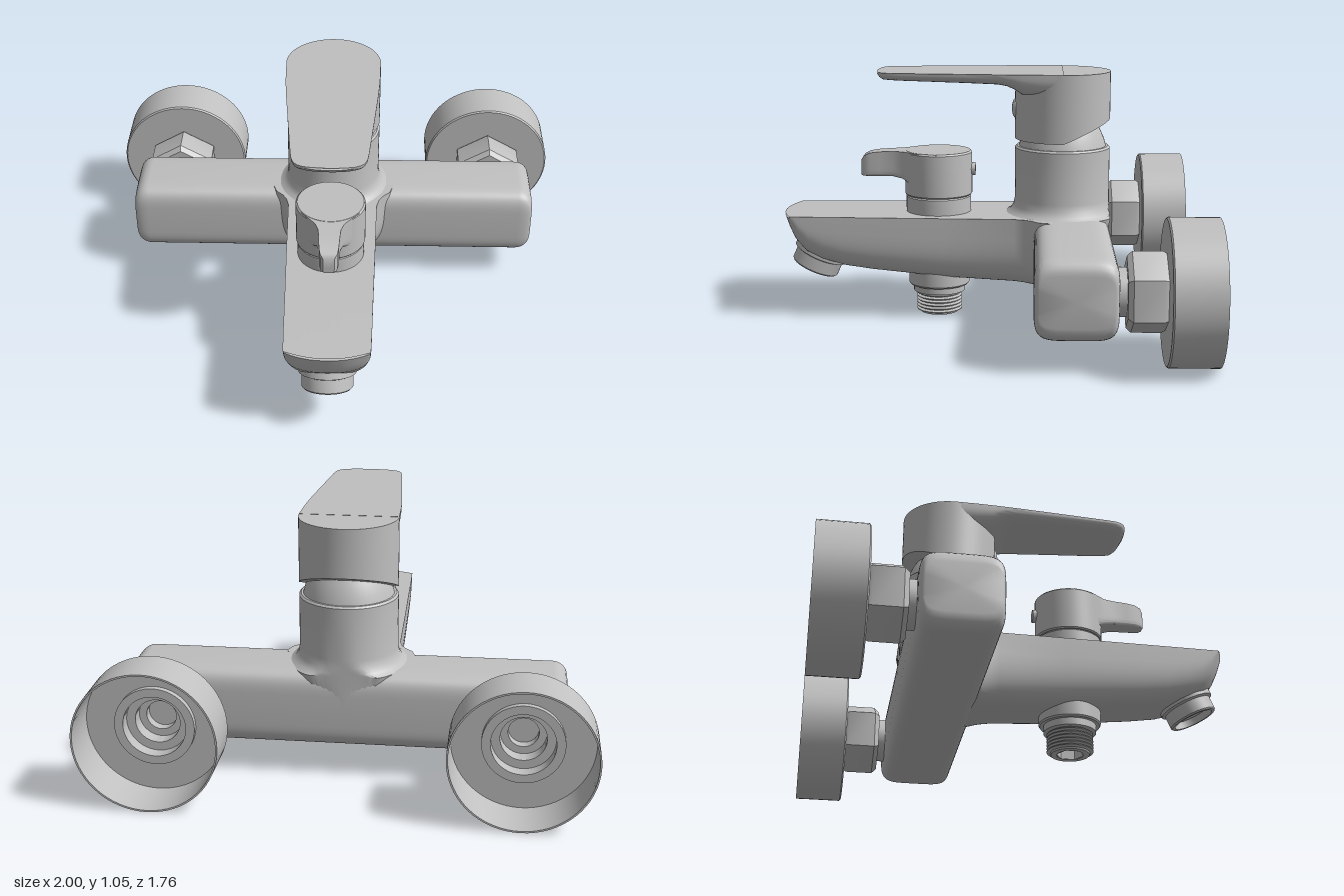
import * as THREE from 'three';
import { toCreasedNormals } from 'three/addons/utils/BufferGeometryUtils.js';

const metal = new THREE.MeshStandardMaterial({ color: 0xc0c0c0, side: THREE.DoubleSide });
metal.name = 'satin metal';

function part(name, geometry, parent, crease = 0.6) {
  const mesh = new THREE.Mesh(toCreasedNormals(geometry, crease), metal);
  mesh.name = name;
  parent.add(mesh);
  return mesh;
}

const lathe = (profile, sides = 48) =>
  new THREE.LatheGeometry(profile.map(([r, y]) => new THREE.Vector2(r, y)), sides);

// Skin over rings of points, closed with a fan at both ends
function loft(rings) {
  const pos = [], n = rings[0].length;
  const tri = (...pts) => pts.forEach((p) => pos.push(...p));
  for (let i = 0; i < rings.length - 1; i++) {
    for (let j = 0; j < n; j++) {
      const k = (j + 1) % n;
      const a = rings[i][j], b = rings[i][k], c = rings[i + 1][k], d = rings[i + 1][j];
      tri(a, b, c);
      tri(a, c, d);
    }
  }
  for (const [ring, last] of [[rings[0], false], [rings[rings.length - 1], true]]) {
    const mid = [0, 1, 2].map((c) => ring.reduce((s, p) => s + p[c], 0) / n);
    for (let j = 0; j < n; j++) {
      const k = (j + 1) % n;
      if (last) tri(mid, ring[j], ring[k]);
      else tri(mid, ring[k], ring[j]);
    }
  }
  const g = new THREE.BufferGeometry();
  g.setAttribute('position', new THREE.Float32BufferAttribute(pos, 3));
  return g;
}

const bulge = (v, n) => Math.sign(v) * Math.abs(v) ** (2 / n);

// Section across z: flat top, rounded underside; bow curves it back at the sides
function troughRing([z, w, top, bottom, bow = 0], n) {
  const ring = [];
  const add = (u, y) => ring.push([u * w, y, z - bow * u * u]);
  for (let i = 0; i < 12; i++) add(1 - i / 6, top);
  for (let i = 0; i < 32; i++) {
    const t = Math.PI * (1 + i / 32);
    add(bulge(Math.cos(t), n), top + (top - bottom) * bulge(Math.sin(t), n));
  }
  return ring;
}

// Section across x: squarish rounded outline of the bar
function barRing(x, hy, hz) {
  return Array.from({ length: 56 }, (_, i) => {
    const t = (i / 56) * Math.PI * 2;
    return [x, 0.29 + hy * bulge(Math.cos(t), 5), -0.34 + hz * bulge(Math.sin(t), 5)];
  });
}

function buildBody(root) {
  // Bar with rounded ends
  const ends = [];
  for (let i = 0; i <= 6; i++) {
    const a = (i / 6) * Math.PI / 2;
    const drop = 0.06 * (1 - Math.cos(a));
    ends.push([0.825 + 0.06 * Math.sin(a), 0.16 - drop, 0.16 - drop * 0.3]);
  }
  const left = ends.map((e) => barRing(...e));
  const right = ends.map(([x, hy, hz]) => barRing(-x, hy, hz)).reverse();
  part('mixerBar', loft([...right, ...left]), root);

  // Spout flaring into the bar: z, half width, top, bottom, bow
  const spout = [
    [-0.26, 0.27, 0.449, 0.145], [-0.2, 0.25, 0.449, 0.147], [-0.17, 0.22, 0.45, 0.15],
    [-0.14, 0.203, 0.45, 0.154], [-0.1, 0.193, 0.45, 0.158], [0.2, 0.186, 0.45, 0.175],
    [0.5, 0.178, 0.45, 0.205], [0.62, 0.175, 0.45, 0.222, 0.005], [0.72, 0.173, 0.45, 0.25, 0.015],
    [0.79, 0.171, 0.45, 0.285, 0.025], [0.84, 0.17, 0.45, 0.34, 0.035],
    [0.865, 0.169, 0.45, 0.395, 0.04], [0.88, 0.168, 0.45, 0.44, 0.04],
  ];
  part('spout', loft(spout.map((s) => troughRing(s, 4))), root);

  // Column with a fillet at its foot, flush with the back of the bar
  const column = lathe([
    [0.2, 0.3], [0.245, 0.445], [0.22, 0.458], [0.206, 0.48], [0.2, 0.51],
    [0.2, 0.727], [0.192, 0.735], [0, 0.735],
  ], 64).translate(0, 0, -0.3);
  const p = column.attributes.position;
  for (let i = 0; i < p.count; i++) p.setZ(i, Math.max(p.getZ(i), -0.5));
  part('column', column, root);
  part('cartridgeDome', lathe([
    [0.185, 0.73], [0.175, 0.765], [0.155, 0.81], [0.13, 0.85], [0, 0.88],
  ]).translate(0, 0, -0.3), root);
}

function buildHandle(root) {
  const handle = new THREE.Group();
  handle.name = 'handle';
  root.add(handle);

  // Cap whose underside rises toward the back
  const cap = new THREE.CylinderGeometry(0.2, 0.2, 0.284, 64).translate(0, 0.907, -0.3);
  const p = cap.attributes.position;
  for (let i = 0; i < p.count; i++) {
    if (p.getY(i) < 0.9) p.setY(i, 0.765 + Math.max(0, -0.3 - p.getZ(i)) * 0.43);
  }
  part('handleCap', cap, handle);

  // Thin tapering lever with a filleted root and a bevelled tip
  const lever = [
    [-0.3, 0.199, 1.05, 0.93], [-0.2, 0.197, 1.05, 0.94], [-0.13, 0.194, 1.05, 0.955],
    [-0.1, 0.192, 1.05, 0.975], [-0.07, 0.19, 1.05, 0.99], [-0.03, 0.187, 1.05, 0.998],
    [0.1, 0.176, 1.05, 1.003], [0.38, 0.151, 1.05, 1.011], [0.42, 0.146, 1.05, 1.013, 0.003],
    [0.45, 0.136, 1.05, 1.015, 0.007], [0.468, 0.12, 1.05, 1.025, 0.01], [0.478, 0.1, 1.05, 1.04, 0.01],
  ];
  part('handleLever', loft(lever.map((s) => troughRing(s, 3))), handle);
  part('indexButton', new THREE.SphereGeometry(0.042, 24, 12).scale(1, 1, 0.4)
    .translate(0, 0.89, -0.103), handle);
}

function buildDiverter(root) {
  const diverter = new THREE.Group();
  diverter.name = 'diverter';
  diverter.position.z = 0.225;
  root.add(diverter);
  part('diverterBase', lathe([[0.138, 0.44], [0.138, 0.515], [0.132, 0.52], [0, 0.52]]), diverter);
  part('diverterKnob', lathe([
    [0, 0.521], [0.138, 0.521], [0.143, 0.527], [0.143, 0.703], [0.136, 0.71], [0, 0.71],
  ]), diverter);
  // Finger tab: z, half width, top, bottom
  const tab = [
    [0.0, 0.14, 0.709, 0.56], [0.08, 0.115, 0.709, 0.565], [0.12, 0.082, 0.709, 0.575],
    [0.15, 0.058, 0.709, 0.592], [0.19, 0.045, 0.709, 0.6], [0.25, 0.041, 0.706, 0.6],
    [0.29, 0.039, 0.7, 0.6], [0.315, 0.034, 0.688, 0.6], [0.327, 0.022, 0.67, 0.602],
  ];
  part('diverterTab', loft(tab.map((s) => troughRing(s, 12))), diverter);
  part('diverterStop', new THREE.CylinderGeometry(0.028, 0.028, 0.03, 20)
    .rotateX(Math.PI / 2).translate(0, 0.63, -0.142), diverter);
}

function buildOutlets(root) {
  // Tilted aerator ring with a recessed face
  const aerator = part('aerator', lathe([
    [0, 0.03], [0.085, 0.03], [0.085, 0], [0.098, 0], [0.103, 0.006],
    [0.103, 0.06], [0.116, 0.066], [0.116, 0.14],
  ]), root);
  aerator.position.set(0, 0.197, 0.764);
  aerator.rotation.x = -0.42;

  // Collar and threaded hose outlet, open below
  const thread = [];
  for (let i = 0; i < 6; i++) {
    const y = 0.012 + i * 0.0145;
    thread.push([0.083, y], [0.097, y + 0.005], [0.097, y + 0.008], [0.083, y + 0.013]);
  }
  const outlet = new THREE.Group();
  outlet.name = 'hoseOutlet';
  outlet.position.z = 0.225;
  root.add(outlet);
  part('threadedOutlet', lathe([
    [0.055, 0.005], [0.08, 0.005], ...thread, [0.085, 0.1], [0.11, 0.1], [0.11, 0.13],
    [0.125, 0.13], [0.13, 0.137], [0.13, 0.2],
  ]), outlet, 0.4);
  part('hexSocket', lathe([[0, 0.09], [0.058, 0.09], [0.058, 0.005]], 6), outlet);
}

function buildWallFitting(root, side) {
  // Local y runs toward the wall
  const fitting = new THREE.Group();
  fitting.name = side > 0 ? 'leftWallFitting' : 'rightWallFitting';
  fitting.position.set(side * 0.715, 0.288, 0);
  fitting.rotation.x = -Math.PI / 2;
  root.add(fitting);
  part('unionNeck', new THREE.CylinderGeometry(0.095, 0.095, 0.1, 40).translate(0, 0.51, 0), fitting);
  part('hexNut', lathe([
    [0.09, 0.53], [0.14, 0.53], [0.16, 0.55], [0.16, 0.665], [0.15, 0.682],
  ], 6), fitting);
  // Hollow cover cup with the stepped pipe bore inside
  part('coverCup', lathe([
    [0.13, 0.68], [0.279, 0.68], [0.285, 0.686], [0.285, 0.88], [0.278, 0.88], [0.278, 0.69],
    [0.16, 0.69], [0.16, 0.715], [0.125, 0.715], [0.125, 0.66], [0.09, 0.66], [0.09, 0.6],
    [0.06, 0.6], [0.06, 0.56], [0, 0.56],
  ], 64), fitting);
}

export function createModel() {
  const root = new THREE.Group();
  root.name = 'bathMixerTap';
  buildBody(root);
  buildHandle(root);
  buildDiverter(root);
  buildOutlets(root);
  for (const side of [-1, 1]) buildWallFitting(root, side);
  return root;
}
